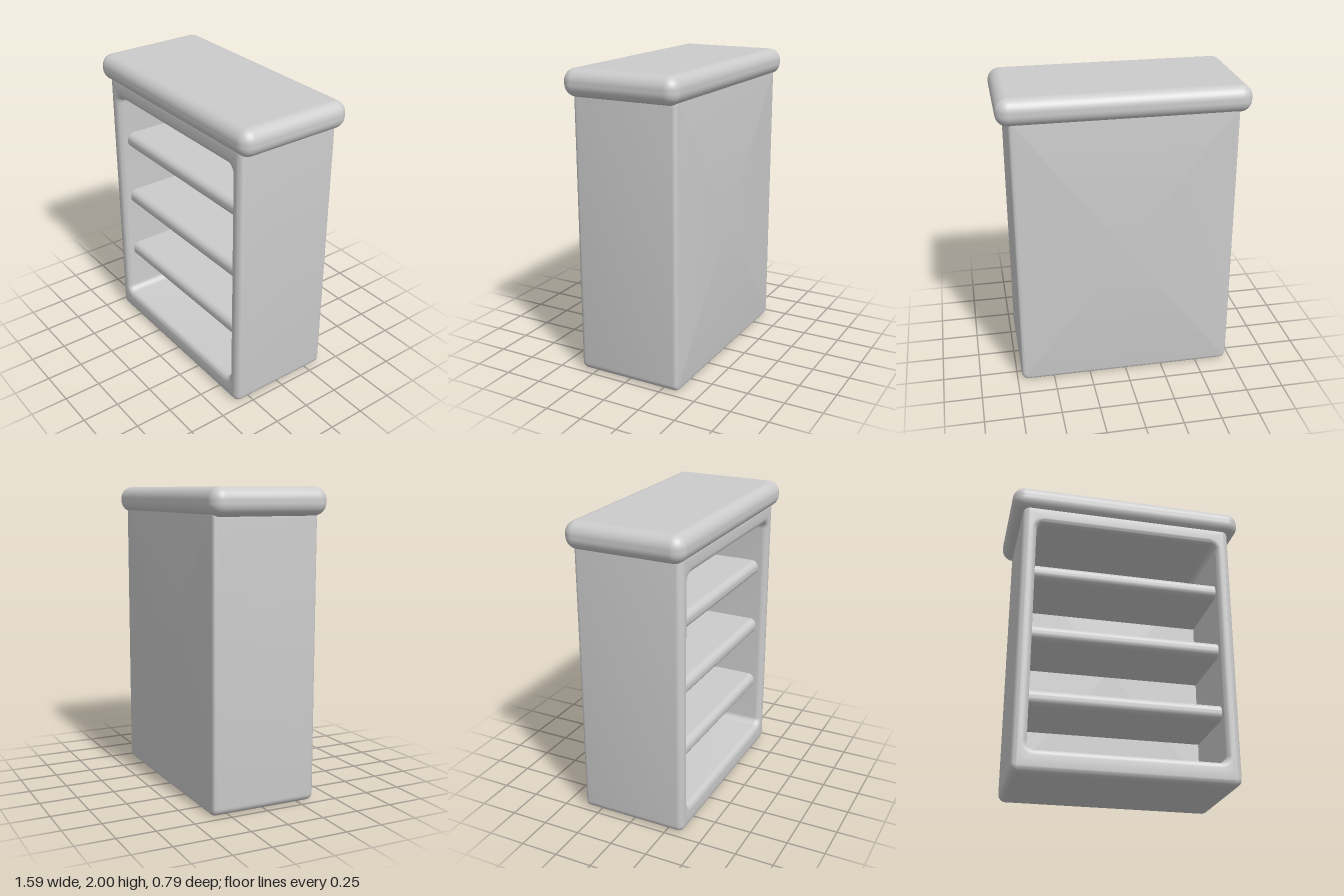
import * as THREE from 'three';
import { toCreasedNormals } from 'three/addons/utils/BufferGeometryUtils.js';
import { RoundedBoxGeometry } from 'three/addons/geometries/RoundedBoxGeometry.js';

const material = new THREE.MeshStandardMaterial({ color: 0xcccccc });
const CORNER_STEPS = 8;

// Rounded rectangle in the xy plane at depth z, counter-clockwise
function ring({ w, y0, y1, r }, grow, z) {
  const radius = r + grow;
  const cx = w - r, lo = y0 + r, hi = y1 - r;
  const centres = [[cx, hi], [-cx, hi], [-cx, lo], [cx, lo]];
  const points = [];
  centres.forEach(([x, y], q) => {
    for (let i = 0; i <= CORNER_STEPS; i++) {
      const a = (q + i / CORNER_STEPS) * Math.PI / 2;
      points.push([x + radius * Math.cos(a), y + radius * Math.sin(a), z]);
    }
  });
  return points;
}

// Skin a list of rings and close both ends
function loft(rings) {
  const n = rings[0].length;
  const positions = rings.flat(2);
  const index = [];
  for (let i = 0; i < rings.length - 1; i++) {
    for (let j = 0; j < n; j++) {
      const k = (j + 1) % n;
      const a = i * n + j, b = i * n + k, c = b + n, d = a + n;
      index.push(a, b, c, a, c, d);
    }
  }
  const cap = (i, flip) => {
    const centre = positions.length / 3;
    const p = rings[i][0], q = rings[i][n / 2];
    positions.push((p[0] + q[0]) / 2, (p[1] + q[1]) / 2, p[2]);
    for (let j = 0; j < n; j++) {
      const a = i * n + j, b = i * n + (j + 1) % n;
      index.push(centre, flip ? b : a, flip ? a : b);
    }
  };
  cap(0, true);
  cap(rings.length - 1, false);
  const geometry = new THREE.BufferGeometry();
  geometry.setAttribute('position', new THREE.Float32BufferAttribute(positions, 3));
  geometry.setIndex(index);
  return toCreasedNormals(geometry, Math.PI / 5);
}

// Hollow case: back, outer sides, rounded front rim, then inside to the back panel
function caseGeometry() {
  const outer = { w: 0.72, y0: 0, y1: 1.87, r: 0.05 };
  const inner = { w: 0.625, y0: 0.15, y1: 1.73, r: 0.045 };
  const back = -0.36, front = 0.36, panel = -0.21;
  const backRound = 0.025, rim = 0.04, steps = 6;
  const rings = [];
  const arc = (shape, sign, size, zEdge, zSign, from, to) => {
    for (let i = 0; i <= steps; i++) {
      const a = (from + (to - from) * i / steps) * Math.PI / 2;
      rings.push(ring(shape, sign * size * (1 - Math.cos(a)), zEdge - zSign * size * (1 - Math.sin(a))));
    }
  };
  arc(outer, -1, backRound, back, -1, 1, 0);
  arc(outer, -1, rim, front, 1, 0, 1);
  arc(inner, 1, rim, front, 1, 1, 0);
  rings.push(ring(inner, 0, panel));
  return loft(rings);
}

export function createModel() {
  const group = new THREE.Group();
  const add = (name, geometry, y = 0, z = 0) => {
    const mesh = new THREE.Mesh(geometry, material);
    mesh.name = name;
    mesh.position.set(0, y, z);
    group.add(mesh);
  };

  add('case', caseGeometry());

  // Overhanging top board
  add('topBoard', new RoundedBoxGeometry(1.59, 0.175, 0.79, 6, 0.078), 1.9125);

  // Shelves, with their ends and backs sunk into the case
  for (let i = 0; i < 3; i++) {
    add(`shelf${i + 1}`, new RoundedBoxGeometry(1.35, 0.105, 0.58, 6, 0.046), 0.503 + i * 0.445, 0.01);
  }
  return group;
}
